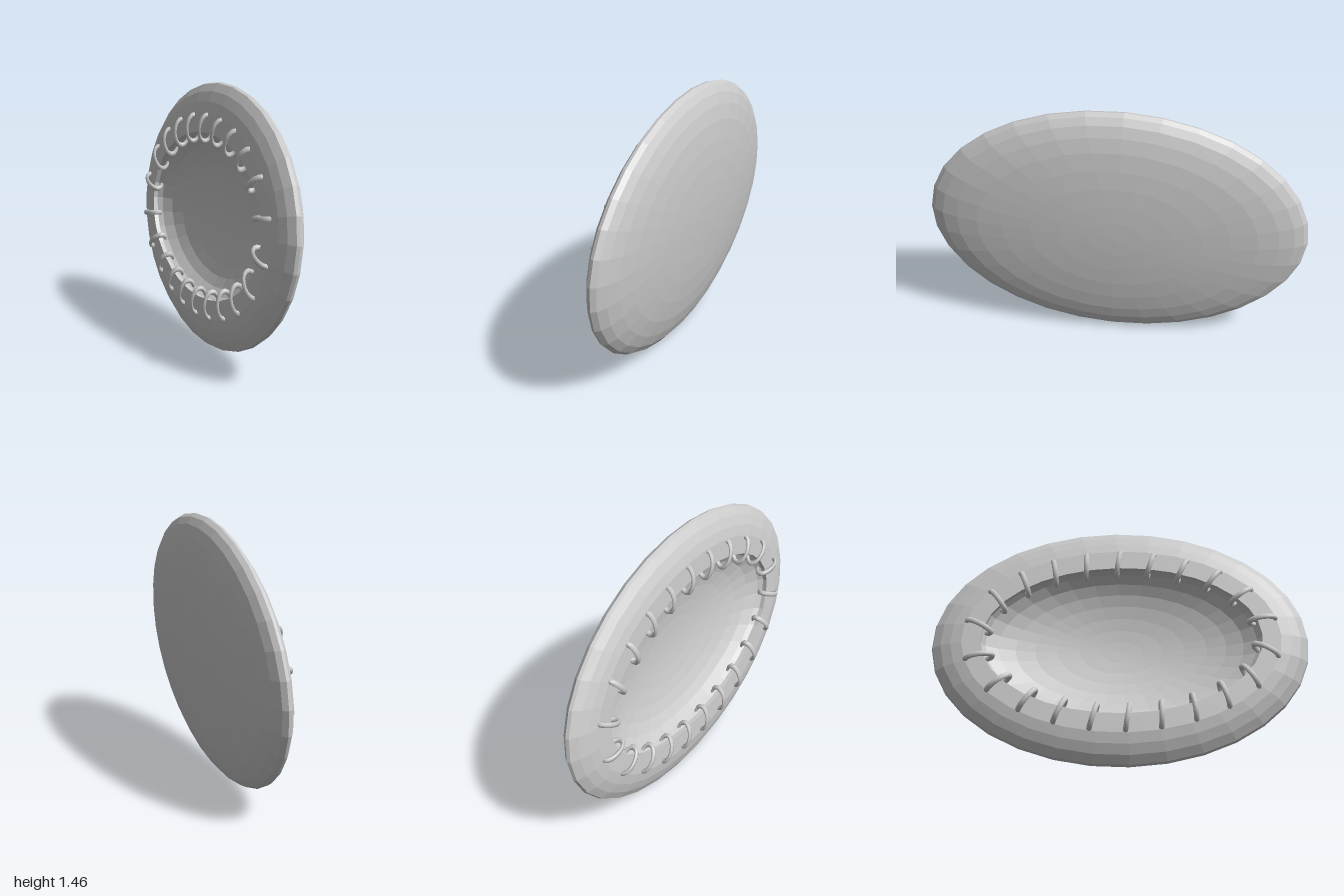
import * as THREE from 'three';

const SEGMENTS = 32;
const A = 1.045, B = 0.732;           // half axes of the rim
const HOLE_A = 0.775, HOLE_B = 0.455; // half axes of the opening
const BACK = -0.075;                  // level of the flat ring around the opening

// Skin stretched over elliptical loops, each given as [half width, half height, depth]
function loft(loops, material) {
  const positions = [], index = [];
  for (const [a, b, z] of loops) {
    for (let j = 0; j < SEGMENTS; j++) {
      const t = (j / SEGMENTS) * Math.PI * 2;
      positions.push(a * Math.cos(t), b * Math.sin(t), z);
    }
  }
  for (let i = 0; i < loops.length - 1; i++) {
    for (let j = 0; j < SEGMENTS; j++) {
      const k = (j + 1) % SEGMENTS;
      const p = i * SEGMENTS + j, q = i * SEGMENTS + k;
      index.push(p, p + SEGMENTS, q + SEGMENTS, p, q + SEGMENTS, q);
    }
  }
  const geometry = new THREE.BufferGeometry();
  geometry.setAttribute('position', new THREE.Float32BufferAttribute(positions, 3));
  geometry.setIndex(index);
  geometry.computeVertexNormals();
  return new THREE.Mesh(geometry, material);
}

export function createModel() {
  const model = new THREE.Group();
  model.name = 'stitchedShell';
  const shellMaterial = new THREE.MeshStandardMaterial({ color: 0xcccccc, flatShading: true });
  const stitchMaterial = new THREE.MeshStandardMaterial({ color: 0xcccccc });

  // Domed outside, rim, bevelled back, flat ring and hollow bowl as one skin
  const dome = [[0, 0.15], [0.15, 0.148], [0.3, 0.143], [0.45, 0.135], [0.6, 0.122],
    [0.74, 0.105], [0.85, 0.083], [0.93, 0.058], [0.98, 0.03], [1, 0.004]]
    .map(([s, z]) => [A * s, B * s, z]);
  const back = [[0.006, -0.014], [0.05, -0.042], [0.105, -0.063], [0.165, BACK]]
    .map(([inset, z]) => [A - inset, B - inset, z]);
  const bowl = [[1, BACK], [1.0, -0.05], [0.97, -0.025], [0.88, 0.012], [0.76, 0.04],
    [0.62, 0.06], [0.46, 0.075], [0.3, 0.085], [0.15, 0.09], [0, 0.092]]
    .map(([s, z]) => [HOLE_A * s, HOLE_B * s, z]);
  const shell = loft([...dome, ...back, ...bowl], shellMaterial);
  shell.name = 'shell';
  model.add(shell);

  // Cord loops laced around the lip of the opening
  const stitches = new THREE.Group();
  stitches.name = 'stitches';
  const lip = new THREE.EllipseCurve(0, 0, HOLE_A, HOLE_B);
  const loop = new THREE.TorusGeometry(1, 0.2, 6, 16);
  loop.scale(0.075, 0.042, 0.08); // long across the lip, shallow in depth
  loop.rotateX(Math.PI / 2);      // stand the loop on the ring
  const count = 22;
  for (let i = 0; i < count; i++) {
    const u = (i + 0.5) / count;
    const point = lip.getPointAt(u), tangent = lip.getTangentAt(u);
    const outward = Math.atan2(-tangent.x, tangent.y);
    const stitch = new THREE.Mesh(loop, stitchMaterial);
    stitch.name = 'stitch';
    stitch.position.set(point.x + 0.025 * Math.cos(outward), point.y + 0.025 * Math.sin(outward), BACK + 0.003);
    stitch.rotation.z = outward + 0.2;
    stitches.add(stitch);
  }
  model.add(stitches);

  // Stand upright, dome towards +x, leaning and turned slightly
  const yaw = THREE.MathUtils.degToRad(72.6);
  model.rotation.set(0.07, yaw, -0.05, 'YXZ');
  model.position.y = 0.733;

  const group = new THREE.Group();
  group.add(model);
  return group;
}
